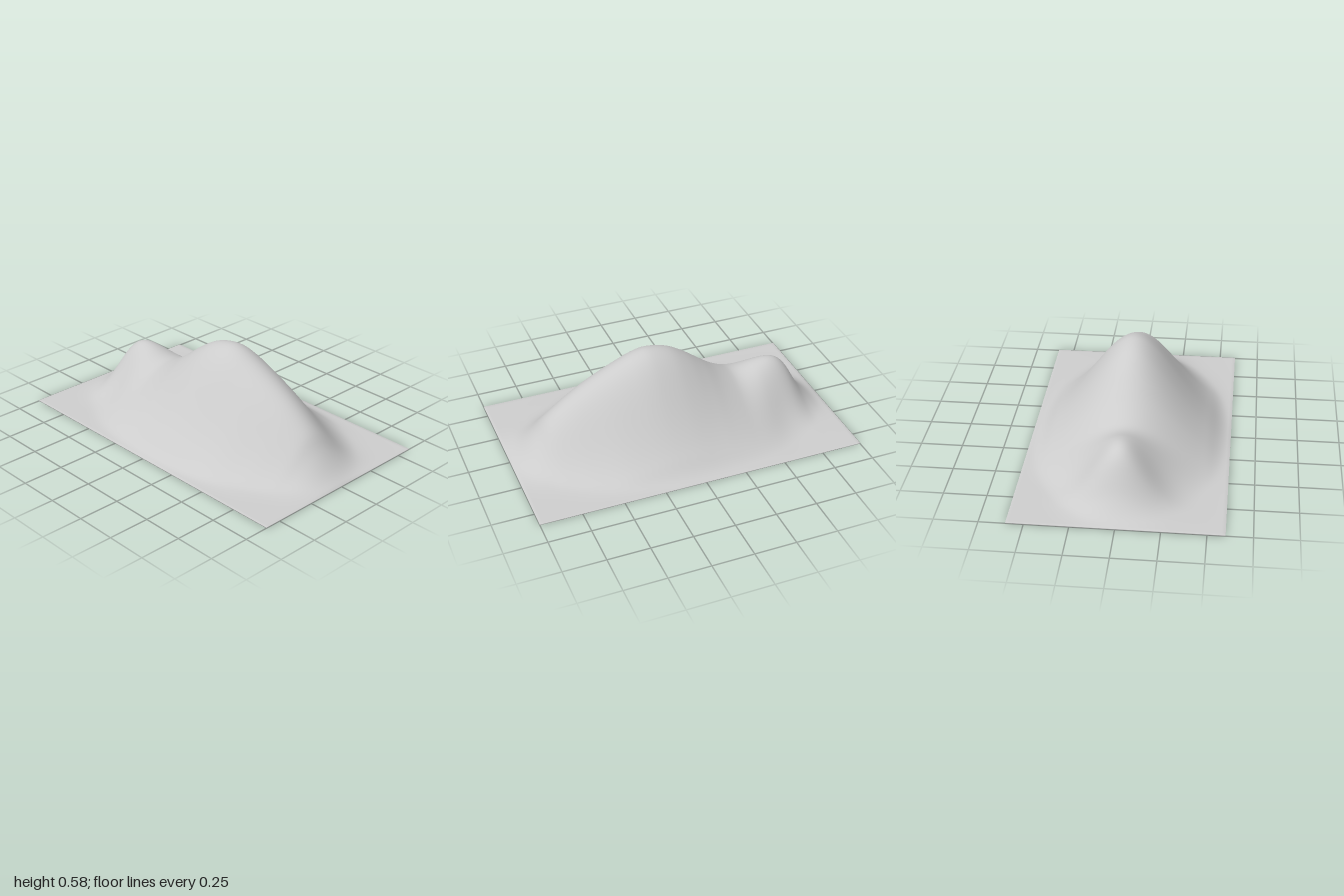
import * as THREE from 'three';
import { mergeVertices } from 'three/addons/utils/BufferGeometryUtils.js';

// Crest height along x, and the half-width of the ridge along x
const CREST = [[-1, 0], [-0.95, 0.02], [-0.9, 0.06], [-0.85, 0.12], [-0.8, 0.21], [-0.76, 0.276],
  [-0.71, 0.32], [-0.65, 0.335], [-0.58, 0.325], [-0.5, 0.3], [-0.45, 0.291], [-0.4, 0.298], [-0.3, 0.35],
  [-0.2, 0.425], [-0.1, 0.5], [0, 0.555], [0.12, 0.58], [0.2, 0.567], [0.3, 0.525], [0.4, 0.477],
  [0.5, 0.425], [0.6, 0.365], [0.7, 0.292], [0.77, 0.23], [0.82, 0.165], [0.9, 0.075], [0.95, 0.03], [1, 0]];
const WIDTH = [[-1, 0.15], [-0.85, 0.14], [-0.65, 0.145], [-0.4, 0.22], [-0.1, 0.225], [0.12, 0.223],
  [0.4, 0.21], [0.6, 0.18], [0.8, 0.15], [1, 0.15]];

// Smooth cubic through a table of [x, value] points
function sample(table, x) {
  const last = table.length - 1;
  let i = 0;
  while (i < last - 1 && x > table[i + 1][0]) i++;
  const slope = (k) => {
    const a = table[Math.max(k - 1, 0)], b = table[Math.min(k + 1, last)];
    return (b[1] - a[1]) / (b[0] - a[0]);
  };
  const [x0, y0] = table[i], [x1, y1] = table[i + 1];
  const d = x1 - x0, t = (x - x0) / d, t2 = t * t, t3 = t2 * t;
  return (2 * t3 - 3 * t2 + 1) * y0 + (t3 - 2 * t2 + t) * d * slope(i)
    + (3 * t2 - 2 * t3) * y1 + (t3 - t2) * d * slope(i + 1);
}

// Broad oval foothill plus a ridge that narrows at the side peak and the end
function height(x, z) {
  const foothill = (v) => 0.12 * THREE.MathUtils.smoothstep(1 - x * x - (v / 0.6) ** 2, 0, 1);
  const s = sample(WIDTH, x);
  const ridge = (sample(CREST, x) - foothill(0)) * Math.exp(-z * z / (2 * s * s));
  const edge = 1 - THREE.MathUtils.smoothstep(Math.abs(z), 0.46, 0.62);
  return Math.max(0, foothill(z) + ridge * edge);
}

export function createModel() {
  const group = new THREE.Group();
  group.name = 'terrain';
  const stone = new THREE.MeshStandardMaterial({ color: 0xcccccc });
  stone.name = 'lightGrey';

  // Thin hollow sheet raised into hills, with normals smoothed round its rim
  const thickness = 0.005;
  let sheet = new THREE.BoxGeometry(2, thickness, 1.2, 100, 1, 60);
  sheet.deleteAttribute('normal');
  sheet.deleteAttribute('uv');
  sheet = mergeVertices(sheet);
  sheet.clearGroups();
  const p = sheet.attributes.position;
  for (let i = 0; i < p.count; i++) {
    p.setY(i, p.getY(i) + thickness / 2 + height(p.getX(i), p.getZ(i)));
  }
  sheet.computeVertexNormals();

  const hills = new THREE.Mesh(sheet, stone);
  hills.name = 'hills';
  group.add(hills);
  return group;
}
